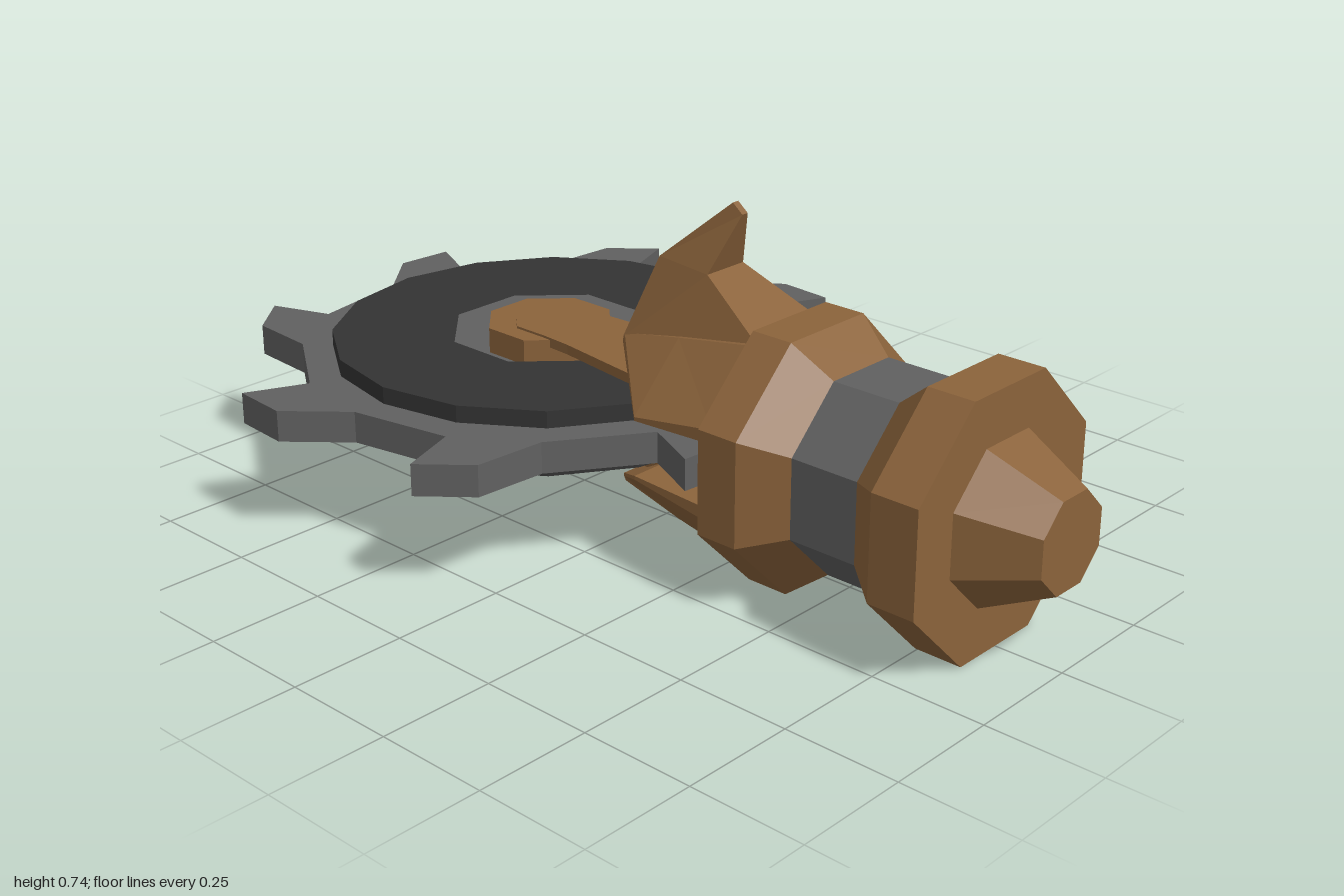
import * as THREE from 'three';

const brown = new THREE.MeshStandardMaterial({ color: 0x8b633b });
brown.name = 'brown';
const steel = new THREE.MeshStandardMaterial({ color: 0x606060 });
steel.name = 'steel grey';
const black = new THREE.MeshStandardMaterial({ color: 0x333333 });
black.name = 'dark grey';

const AXIS_Y = 0.268; // height of the handle axis
const BLADE_Z = -0.35; // centre of the saw blade

// Faceted mesh: every face keeps its own normal
function facet(geometry, material, name) {
  const g = geometry.index ? geometry.toNonIndexed() : geometry;
  g.computeVertexNormals();
  const mesh = new THREE.Mesh(g, material);
  mesh.name = name;
  return mesh;
}

// Octagonal turned part along z; profile rows are [half width across flats, z], back to front
function turned(profile, material, name) {
  const pts = profile.map(([r, z]) => new THREE.Vector2(r / Math.cos(Math.PI / 8), z));
  return facet(new THREE.LatheGeometry(pts, 8, Math.PI / 8).rotateX(Math.PI / 2), material, name);
}

// Closed solid through rings of equal point count
function loft(rings, material, name) {
  const n = rings[0].length;
  const index = [];
  for (let i = 0; i < rings.length - 1; i++) {
    for (let j = 0; j < n; j++) {
      const a = i * n + j, b = i * n + (j + 1) % n;
      index.push(a, b, b + n, a, b + n, a + n);
    }
  }
  const last = (rings.length - 1) * n;
  for (let k = 1; k < n - 1; k++) {
    index.push(0, k + 1, k, last, last + k, last + k + 1);
  }
  const g = new THREE.BufferGeometry();
  g.setAttribute('position', new THREE.Float32BufferAttribute(rings.flat(2), 3));
  g.setIndex(index);
  return facet(g, material, name);
}

// Flat plate from an outline of [x, z], between heights y0 and y1
function plate(outline, y0, y1, material, name, hole) {
  const points = (list) => list.map(([x, z]) => new THREE.Vector2(x, -z));
  const shape = new THREE.Shape(points(outline));
  if (hole) shape.holes.push(new THREE.Path(points(hole)));
  const g = new THREE.ExtrudeGeometry(shape, { depth: y1 - y0, bevelEnabled: false });
  return facet(g.rotateX(-Math.PI / 2).translate(0, y0, 0), material, name);
}

function polygon(sides, radius, offset = 0) {
  return Array.from({ length: sides }, (_, i) => {
    const a = offset + (i / sides) * Math.PI * 2;
    return [Math.cos(a) * radius, Math.sin(a) * radius];
  });
}

// Half-octagon section of a prong: half width, half flat width, heights, z
function prongSection(w, flat, bottom, side, top, z) {
  return [[-w, bottom, z], [w, bottom, z], [w, side, z], [flat, top, z], [-flat, top, z], [-w, side, z]];
}

// Four-cornered section of the horn
function hornSection(w, frontY, frontZ, backY, backZ) {
  return [[-w, frontY, frontZ], [w, frontY, frontZ], [w, backY, backZ], [-w, backY, backZ]];
}

function createHandle() {
  const group = new THREE.Group();
  group.name = 'handle';
  group.add(
    turned([[0, 0.33], [0.268, 0.33], [0.268, 0.425], [0.205, 0.51], [0, 0.51]], brown, 'rearCollar'),
    turned([[0.205, 0.51], [0.205, 0.665]], steel, 'gripBand'),
    turned([[0, 0.665], [0.205, 0.665], [0.268, 0.745], [0.268, 0.85], [0, 0.85]], brown, 'frontCollar'),
    turned([[0.162, 0.85], [0.095, 1], [0, 1]], brown, 'pommel'),
  );
  return group;
}

function createBlade() {
  const group = new THREE.Group();
  group.name = 'sawBlade';
  group.position.z = BLADE_Z;
  // One hooked tooth, repeated around the rim
  const tooth = [[0.01, -0.545], [0.13, -0.65], [0.26, -0.64], [0.2, -0.51]];
  const outline = [];
  for (let i = 0; i < 8; i++) {
    const c = Math.cos(i * Math.PI / 4), s = Math.sin(i * Math.PI / 4);
    for (const [x, z] of tooth) outline.push([x * c - z * s, x * s + z * c]);
  }
  group.add(plate(outline, -0.034, 0.034, steel, 'toothedDisc'));
  // Raised dark rings on both faces
  const rim = polygon(16, 0.477);
  const opening = polygon(8, 0.222, Math.PI / 8);
  group.add(plate(rim, 0.034, 0.071, black, 'upperRing', opening));
  group.add(plate(rim, -0.071, -0.034, black, 'lowerRing', opening));
  // Axle hub
  group.add(plate(polygon(8, 0.142, Math.PI / 8), -0.09, 0.09, brown, 'hub'));
  return group;
}

// Prong and the arm reaching from it to the hub
function createFork(name) {
  const group = new THREE.Group();
  group.name = name;
  group.add(loft([
    prongSection(0.1, 0.095, 0.148, 0.155, 0.167, -0.03),
    prongSection(0.235, 0.105, 0.06, 0.068, 0.2, 0.13),
    prongSection(0.235, 0.11, 0.07, 0.1, 0.237, 0.335),
  ], brown, 'prong'));
  const half = [[0.055, -0.4], [0.09, -0.36], [0.09, -0.28], [0.095, -0.2], [0.12, -0.02], [0.14, 0.14]];
  const outline = [...half, ...half.map(([x, z]) => [-x, z]).reverse()];
  group.add(plate(outline, 0.073, 0.095, brown, 'arm'));
  return group;
}

export function createModel() {
  const model = new THREE.Group();
  model.name = 'sawTool';
  const body = new THREE.Group();
  body.name = 'body';
  body.position.y = AXIS_Y;
  model.add(body);

  const lower = createFork('lowerFork');
  lower.rotation.z = Math.PI;
  body.add(createHandle(), createBlade(), createFork('upperFork'), lower);

  // Horn curling toward the front
  body.add(loft([
    hornSection(0.1, 0.232, 0.335, 0.16, -0.03),
    hornSection(0.054, 0.327, 0.16, 0.337, 0.03),
    hornSection(0.008, 0.452, 0.21, 0.472, 0.185),
  ], brown, 'horn'));
  return model;
}
